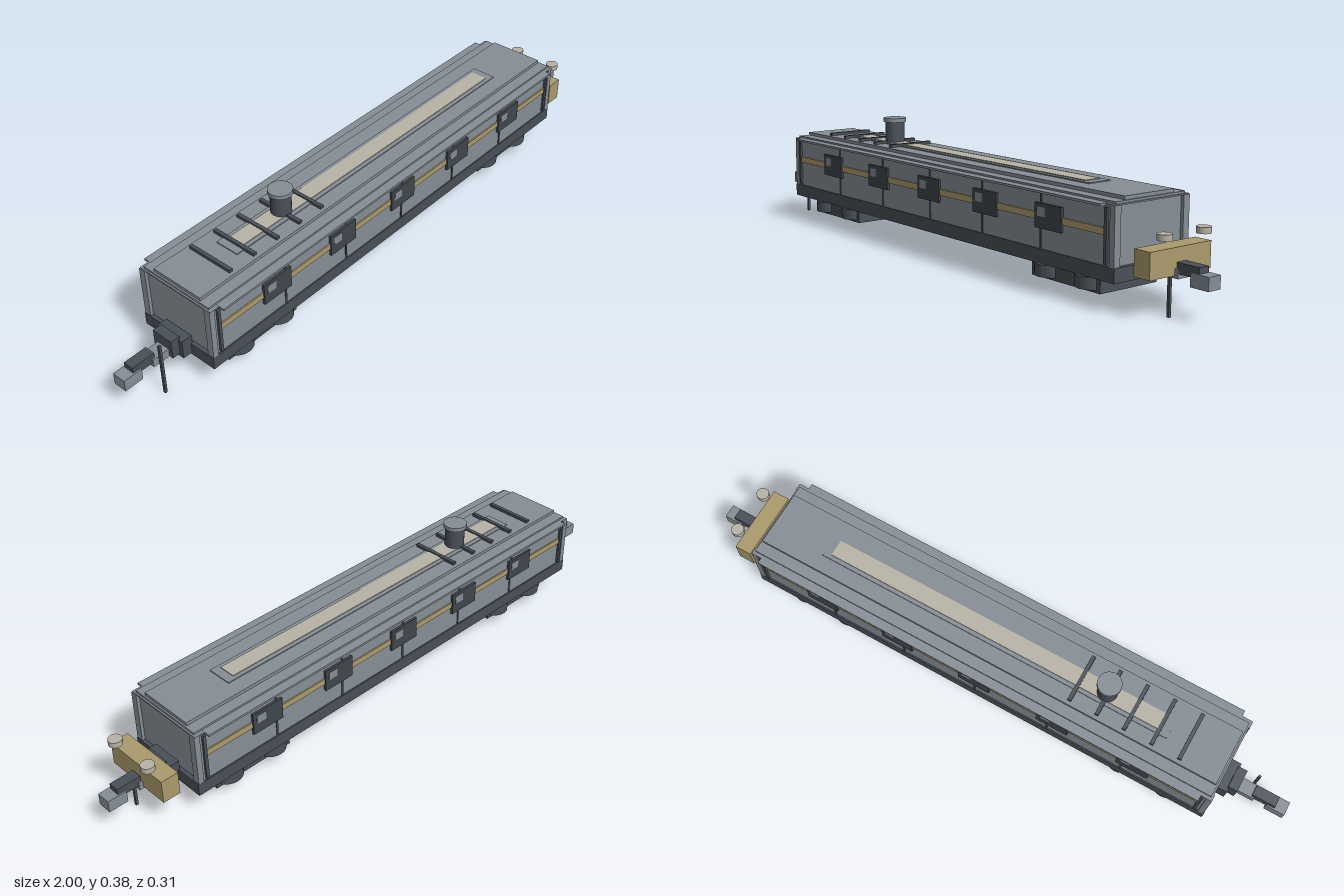
import * as THREE from 'three';

const mat = (name, color) => Object.assign(new THREE.MeshStandardMaterial({ color }), { name });

export function createModel() {
  const grey = mat('body grey', 0x868e96);
  const dark = mat('dark iron', 0x495057);
  const shade = mat('window dark', 0x40464c);
  const gold = mat('dull gold', 0xab9b6c);
  const cream = mat('pale glass', 0xb8b4a6);

  const model = new THREE.Group();
  model.name = 'railCar';

  // Box given by its extents on each axis
  const box = (name, m, [x0, x1], [y0, y1], [z0, z1], parent = model) => {
    const mesh = new THREE.Mesh(new THREE.BoxGeometry(x1 - x0, y1 - y0, z1 - z0), m);
    mesh.position.set((x0 + x1) / 2, (y0 + y1) / 2, (z0 + z1) / 2);
    mesh.name = name;
    parent.add(mesh);
    return mesh;
  };
  // Upright cylinder between two heights
  const drum = (name, m, r, x, y0, y1, z, parent = model) => {
    const mesh = new THREE.Mesh(new THREE.CylinderGeometry(r, r, y1 - y0, 24), m);
    mesh.position.set(x, (y0 + y1) / 2, z);
    mesh.name = name;
    parent.add(mesh);
    return mesh;
  };
  const span = (c, half) => [c - half, c + half];

  // Chassis and body shell
  box('chassis', dark, span(0, 0.79), [0.083, 0.123], span(0, 0.137));
  box('body', grey, span(0, 0.778), [0.123, 0.284], span(0, 0.133));
  for (const sx of [-1, 1]) for (const sz of [-1, 1])
    box('cornerPost', grey, span(sx * 0.779, 0.009), [0.123, 0.284], span(sz * 0.126, 0.011));

  // Stepped roof
  box('roofBase', grey, span(0, 0.785), [0.282, 0.286], span(0, 0.137));
  box('roofEaves', grey, span(0, 0.753), [0.28, 0.2865], span(0, 0.155));
  box('roofMiddle', grey, span(0, 0.78), [0.285, 0.292], span(0, 0.126));
  box('roofTop', grey, span(0, 0.775), [0.291, 0.302], span(0, 0.09));
  box('skylightBase', grey, span(0, 0.59), [0.302, 0.305], span(0, 0.04));
  box('skylight', cream, span(0, 0.563), [0.304, 0.3075], span(0, 0.027));
  for (let i = 0; i < 5; i++)
    box('roofRib', dark, span(-0.65 + i * 0.09, 0.006), [0.302, 0.311], span(0, 0.078));

  // Chimney
  drum('chimney', dark, 0.031, -0.376, 0.302, 0.373, 0);
  drum('chimneyCap', grey, 0.037, -0.376, 0.372, 0.385, 0);

  // Side details; the rear side is the front one turned half way round
  for (const turn of [0, Math.PI]) {
    const side = new THREE.Group();
    side.name = turn ? 'rightSideDetails' : 'leftSideDetails';
    side.rotation.y = turn;
    model.add(side);
    box('stripe', gold, span(0, 0.755), [0.203, 0.222], [0.132, 0.137], side);
    for (const x of [-0.757, 0.757])
      box('endPost', dark, span(x, 0.005), [0.128, 0.276], [0.132, 0.14], side);
    for (let i = -2; i <= 2; i++) {
      box('panelSeam', dark, span(i * 0.2525, 0.003), [0.125, 0.28], [0.132, 0.1355], side);
      const x = i * 0.27;
      box('window', shade, span(x, 0.053), [0.181, 0.25], [0.132, 0.141], side);
      box('windowPane', grey, span(x - 0.024, 0.016), [0.214, 0.24], [0.14, 0.1425], side);
    }
  }

  // Bogies
  for (const x of [-0.573, 0.573]) {
    const bogie = new THREE.Group();
    bogie.name = 'bogie';
    bogie.position.x = x;
    model.add(bogie);
    box('bogieFrame', dark, span(0, 0.135), [0.034, 0.076], span(0, 0.105), bogie);
    box('bogiePivot', grey, span(0, 0.09), [0.075, 0.084], span(0, 0.09), bogie);
    for (const wx of [-0.08, 0.08]) for (const wz of [-0.083, 0.083])
      drum('bogieDrum', dark, 0.047, wx, 0.042, 0.0765, wz, bogie);
  }

  // Couplers with hanging rods at both ends
  for (const s of [-1, 1]) {
    const end = new THREE.Group();
    end.name = 'coupler';
    model.add(end);
    const along = (a, b) => (s > 0 ? [a, b] : [-b, -a]);
    box('bufferBeam', dark, along(0.785, 0.82), [0.09, 0.15], span(0, 0.05), end);
    box('drawGear', dark, along(0.815, 0.845), [0.1, 0.16], span(0, 0.036), end);
    box('drawBar', grey, along(0.835, 0.9), [0.1, 0.126], span(0, 0.022), end);
    box('couplerShank', dark, along(0.89, 0.965), [0.112, 0.142], span(0, 0.017), end);
    box('couplerHead', grey, along(0.94, 1), [0.088, 0.125], span(0, 0.022), end);
    box('hangingRod', dark, span(s * 0.883, 0.004), [0, s < 0 ? 0.174 : 0.12], span(0.034, 0.004), end);
  }

  // Headstock box and lamps
  box('headstock', gold, [0.833, 0.888], [0.107, 0.18], span(0, 0.112));
  for (const z of [-0.072, 0.072]) drum('lamp', cream, 0.02, 0.897, 0.207, 0.224, z);

  return model;
}
